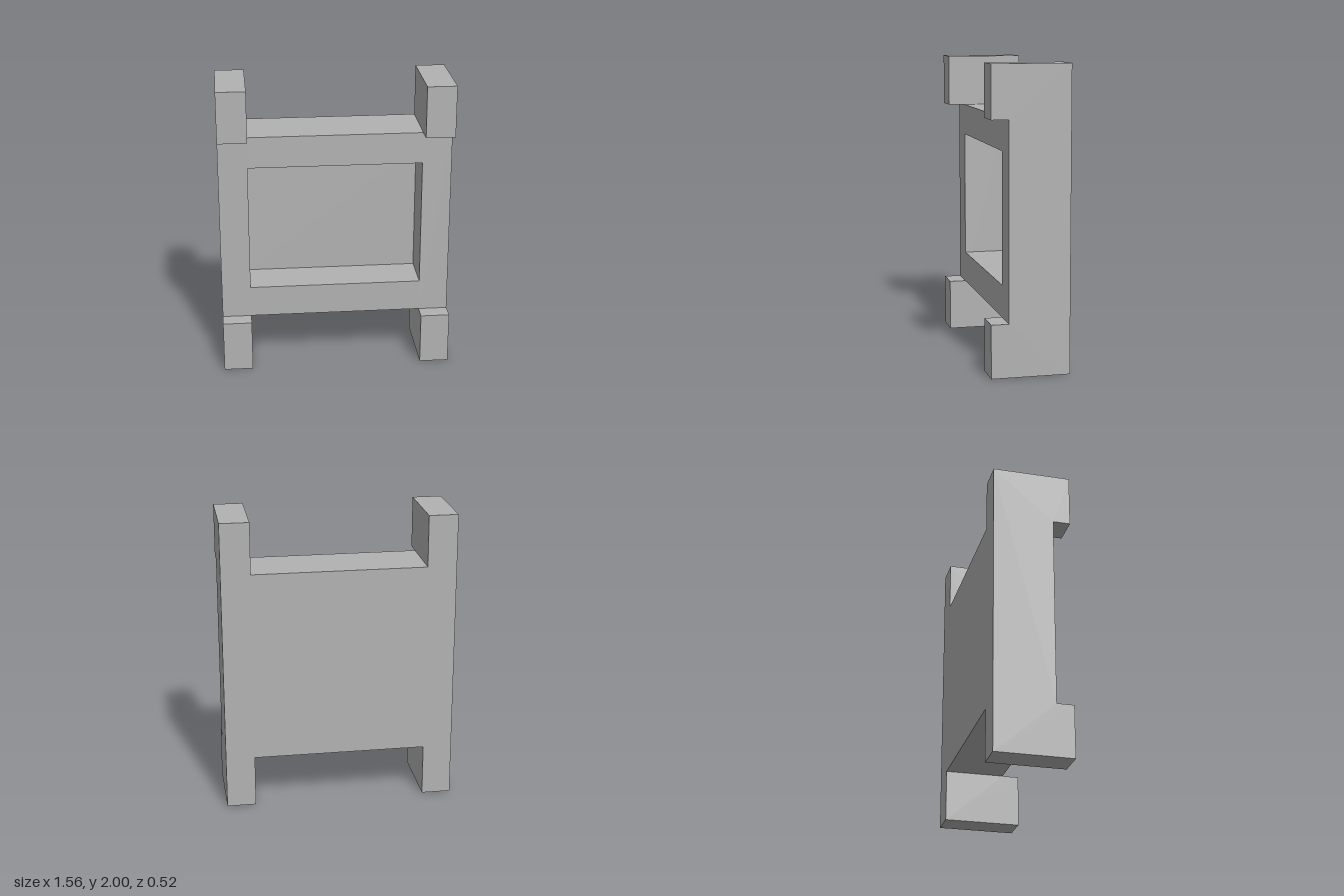
import * as THREE from 'three';

const BACK = -0.26, FACE = 0.145, FRONT = 0.26; // depth levels
const LOW = 0.353, HIGH = 1.652;                // body bottom and top
const INNER = 0.585, OUTER = 0.782;             // post sides

// Extrudes a side profile of [z, y] points across x, centred on x = 0.
function extrudeAcross(points, width) {
  const shape = new THREE.Shape(points.map(([z, y]) => new THREE.Vector2(z, y)));
  const geometry = new THREE.ExtrudeGeometry(shape, { depth: width, bevelEnabled: false });
  geometry.translate(0, 0, -width / 2);
  geometry.rotateY(-Math.PI / 2);
  return geometry;
}

export function createModel() {
  const model = new THREE.Group();
  model.name = 'recessedFrame';

  const grey = new THREE.MeshStandardMaterial({ color: 0xb2b2b2 });
  grey.name = 'plain grey';

  // Side posts: full height, with blocks projecting forward at both ends
  const postProfile = [
    [BACK, 0], [FRONT, 0], [FRONT, LOW], [FACE, LOW],
    [FACE, HIGH], [FRONT, HIGH], [FRONT, 2], [BACK, 2],
  ];
  const postGeometry = extrudeAcross(postProfile, OUTER - INNER);
  for (const [name, side] of [['leftPost', 1], ['rightPost', -1]]) {
    const post = new THREE.Mesh(postGeometry, grey);
    post.name = name;
    post.position.x = side * (INNER + OUTER) / 2;
    model.add(post);
  }

  // Body between the posts: bottom rail, back panel and top rail around the recess
  const floor = -0.15, recessLow = 0.567, recessHigh = 1.438;
  const bodyProfile = [
    [BACK, LOW], [FACE, LOW], [FACE, recessLow], [floor, recessLow],
    [floor, recessHigh], [FACE, recessHigh], [FACE, HIGH], [BACK, HIGH],
  ];
  const body = new THREE.Mesh(extrudeAcross(bodyProfile, 2 * INNER), grey);
  body.name = 'recessedPanel';
  model.add(body);

  return model;
}
